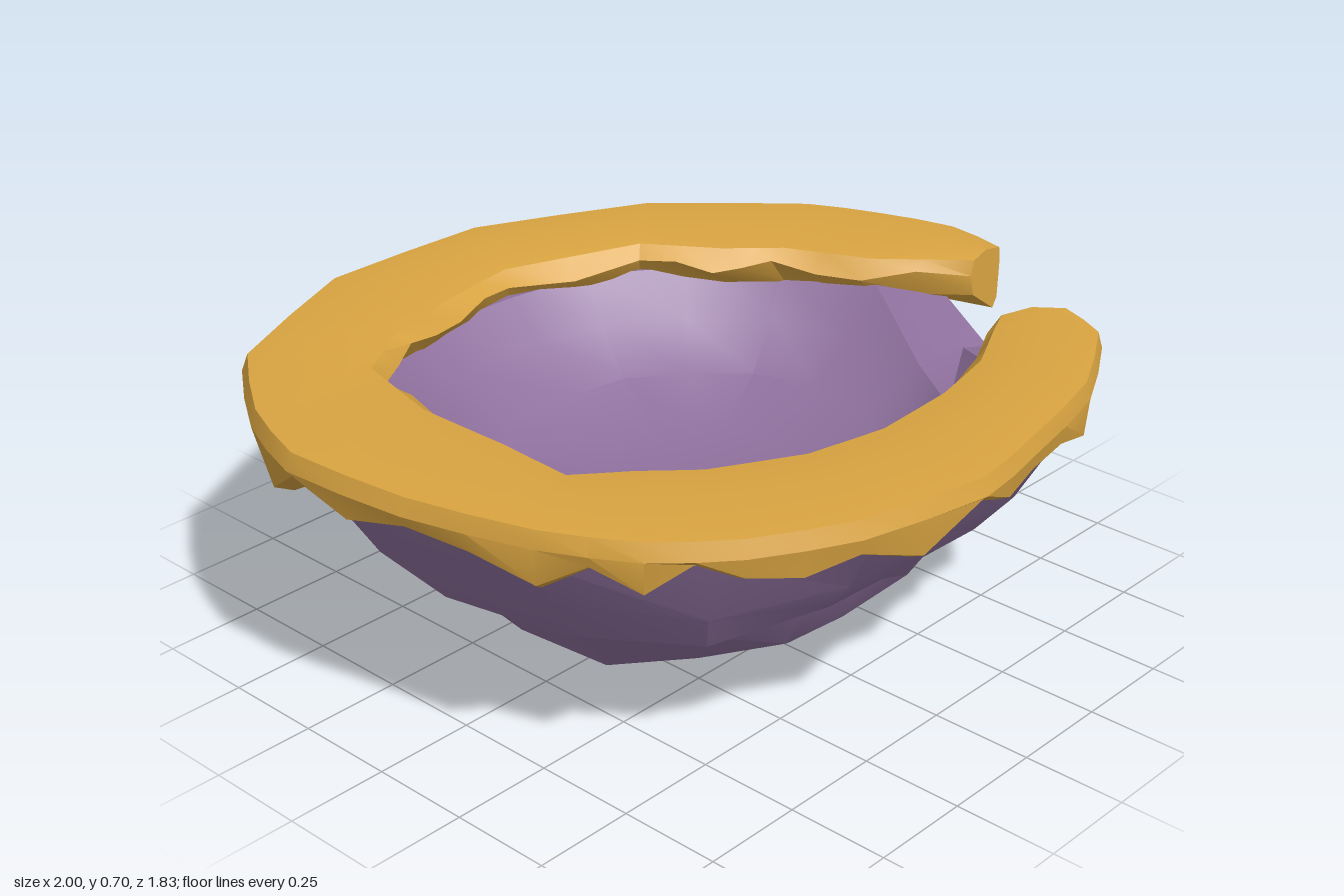
import * as THREE from 'three';
import { toCreasedNormals } from 'three/addons/utils/BufferGeometryUtils.js';

// Skin a grid of points: rows follow the profile, columns run around the bowl
function loft(rows, wrapRows, wrapCols) {
  const n = rows.length, m = rows[0].length, index = [];
  for (let i = 0; i < (wrapRows ? n : n - 1); i++) {
    for (let j = 0; j < (wrapCols ? m : m - 1); j++) {
      const i2 = (i + 1) % n, j2 = (j + 1) % m;
      const a = i * m + j, b = i2 * m + j, c = i2 * m + j2, d = i * m + j2;
      index.push(a, b, c, a, c, d);
    }
  }
  const geo = new THREE.BufferGeometry();
  geo.setAttribute('position', new THREE.Float32BufferAttribute(rows.flat(2), 3));
  geo.setIndex(index);
  return toCreasedNormals(geo, 0.45);
}

// Rough stone bowl: radii at 8 angles, starting at +x and turning to +z
function bowlGeometry() {
  const outerHeights = [0.04, 0.16, 0.28, 0.34, 0.45, 0.61];
  const outerRadii = [
    [.44, .42, .30, .33, .40, .38, .40, .45],
    [.60, .58, .47, .52, .57, .54, .54, .52],
    [.74, .66, .53, .63, .67, .64, .68, .58],
    [.76, .72, .63, .74, .79, .74, .73, .62],
    [.81, .80, .72, .82, .86, .82, .78, .69],
    [.87, .88, .84, .90, .95, .96, .88, .85],
  ];
  const innerRim = [.68, .70, .57, .60, .63, .71, .62, .62];
  // the inside keeps the rim's outline, shrinking towards the floor
  const inside = [[0.62, 1], [0.52, 0.86], [0.42, 0.66], [0.37, 0.35]];
  const profile = [
    ...outerRadii.map((radii, i) => [outerHeights[i], radii]),
    ...inside.map(([y, f]) => [y, innerRim.map((r) => r * f)]),
  ];
  const rows = profile.map(([y, radii], i) => Array.from({ length: 16 }, (_, k) => {
    const a = k * Math.PI / 8, s = k >> 1;
    let r = k % 2 ? (radii[s] + radii[(s + 1) % 8]) * 0.51 : radii[s];
    let h = y;
    if (i > 0 && i < 5) h += 0.02 * Math.sin(k * 2.3 + i); // chipped ledges
    if (k === 1 && (i === 5 || i === 6)) { // broken notch in the rim
      h -= 0.08;
      r = i === 5 ? 0.80 : 0.73;
    }
    return [r * Math.cos(a), h, r * Math.sin(a)];
  }));
  rows.unshift(Array(16).fill([0, 0, -0.05]));
  rows.push(Array(16).fill([0, 0.36, 0]));
  return loft(rows, false, true);
}

// Broken rim crust: stations of outer x, z and inner x, z from one broken end to the other
function rimGeometry() {
  const key = [
    [.76, .52, .61, .41], [.70, .66, .52, .44], [.45, .80, .38, .51], [.15, .87, .20, .55],
    [-.08, .91, -.03, .56], [-.40, .84, -.22, .52], [-.62, .72, -.42, .41], [-.77, .58, -.52, .31],
    [-.88, .38, -.63, .23], [-.97, .08, -.61, .05], [-1, -.25, -.61, -.2], [-.92, -.47, -.55, -.45],
    [-.75, -.72, -.40, -.53], [-.32, -.92, -.20, -.58], [.15, -.91, 0, -.62], [.58, -.70, .34, -.50],
    [.87, -.38, .44, -.34], [.95, -.19, .55, -.24], [1, 0, .65, -.03], [.96, .17, .84, .17],
  ];
  const stations = [];
  key.forEach((s, i) => {
    stations.push(s);
    const t = key[i + 1];
    if (t) stations.push(s.map((v, c) => (v + t[c]) / 2 * (c < 2 ? 1.005 : 1)));
  });
  const columns = stations.map(([ox, oz, ix, iz], k) => {
    const drip = 0.575 + 0.035 * Math.sin(k * 2.6) + 0.015 * Math.sin(k * 1.1);
    const at = (t, y) => [ix + (ox - ix) * t, y, iz + (oz - iz) * t];
    return [
      at(0.84, drip), at(0.97, drip + 0.025), at(1, 0.65), at(0.96, 0.69),
      at(0.5, 0.70), at(0.1, 0.685), at(0, 0.645 + 0.015 * Math.sin(k * 1.9)), at(0.12, 0.59),
    ];
  });
  // close both broken ends on their centres
  const cap = (col) => {
    const c = [0, 1, 2].map((d) => col.reduce((sum, p) => sum + p[d], 0) / col.length);
    return col.map(() => c);
  };
  const all = [cap(columns[0]), ...columns, cap(columns[columns.length - 1])];
  return loft(all[0].map((_, i) => all.map((col) => col[i])), true, false);
}

export function createModel() {
  const stone = new THREE.MeshStandardMaterial({ color: 0x8f719e });
  stone.name = 'purple stone';
  const gold = new THREE.MeshStandardMaterial({ color: 0xd9a441 });
  gold.name = 'golden crust';

  const group = new THREE.Group();
  group.name = 'brokenBowl';
  const add = (name, geo, mat) => {
    const mesh = new THREE.Mesh(geo, mat);
    mesh.name = name;
    group.add(mesh);
  };
  add('stoneBowl', bowlGeometry(), stone);
  add('rimCrust', rimGeometry(), gold);
  return group;
}
